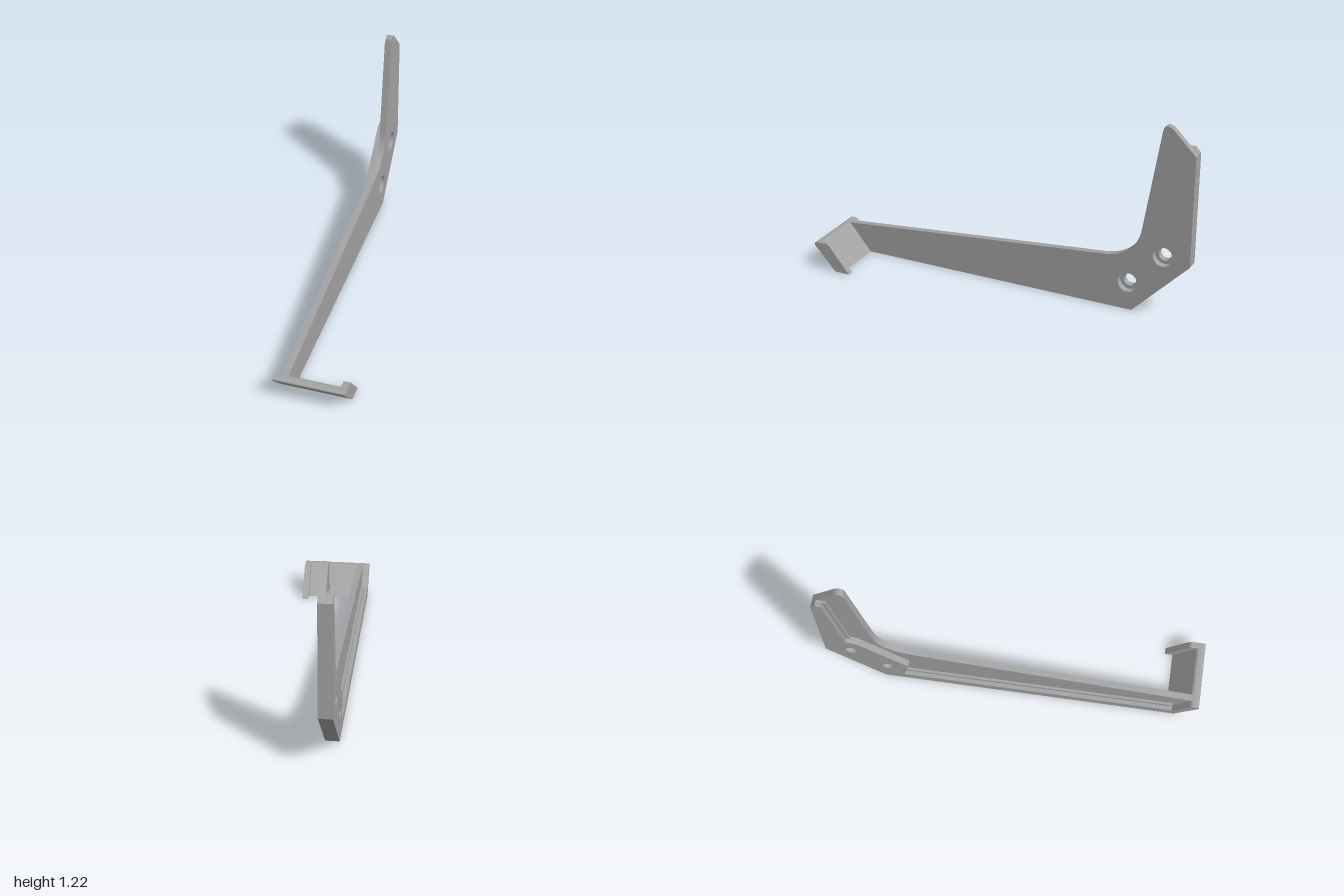
import * as THREE from 'three';

// Angled wall bracket: modelled along local x, then turned 45 degrees about y
const FRONT = -0.05, MID = -0.092, STEP = -0.108, BACK = -0.134;
const holeCentres = [[0.895, 0.18], [1.11, 0.395]];

export function createModel() {
  const grey = new THREE.MeshStandardMaterial({ color: 0xa3a3a3 });
  grey.name = 'satin grey';

  const bracket = new THREE.Group();
  bracket.name = 'bracket';

  const outline = (points) => new THREE.Shape(points.map(([x, y]) => new THREE.Vector2(x, y)));

  // Extrude a side profile between two depths
  function slab(name, shape, z0, z1) {
    const geometry = new THREE.ExtrudeGeometry(shape, {
      depth: z1 - z0, bevelEnabled: false, curveSegments: 16,
    });
    geometry.translate(0, 0, z0);
    const mesh = new THREE.Mesh(geometry, grey);
    mesh.name = name;
    bracket.add(mesh);
  }

  function drill(shape, radius) {
    for (const [x, y] of holeCentres) {
      shape.holes.push(new THREE.Path().absarc(x, y, radius, 0, Math.PI * 2, true));
    }
    return shape;
  }

  // Front web: long tapering arm curving up into the upright
  const web = new THREE.Shape();
  web.moveTo(-0.93, 0);
  web.lineTo(0.927, 0);
  web.lineTo(1.28, 0.36);
  web.lineTo(1.28, 1.06);
  web.lineTo(1.145, 1.195);
  web.quadraticCurveTo(1.125, 1.218, 1.1, 1.218);
  web.quadraticCurveTo(1.078, 1.218, 1.073, 1.18);
  web.lineTo(0.97, 0.53);
  web.bezierCurveTo(0.95, 0.43, 0.87, 0.352, 0.74, 0.338);
  web.lineTo(-1.07, 0.178);
  slab('web', drill(web, 0.063), MID, FRONT);

  // Rear rim and screw boss, with a small step where they meet the web
  function rim(grow) {
    return drill(outline([
      [-0.93, 0], [0.927, 0], [1.28, 0.36], [1.28, 1.06],
      [1.25, 1.095], [1.215 - grow, 1.095], [1.135 - grow, 0.53],
      [1.065, 0.515], [0.765, 0.22], [0.8, 0.06 + grow], [-0.94, 0.06 + grow],
    ]), 0.04);
  }
  slab('rimStep', rim(0.022), STEP, MID);
  slab('rearRim', rim(0), BACK, STEP);

  // Slanted end wall and the retaining lip of the hook
  const hookProfile = (width) => {
    const s = new THREE.Shape();
    s.moveTo(-0.955, 0);
    s.lineTo(-0.955 + width, 0);
    s.lineTo(-1.09 + width, 0.165);
    s.quadraticCurveTo(-1.1 + width, 0.18, -1.115 + width, 0.18);
    s.lineTo(-1.08, 0.18);
    s.quadraticCurveTo(-1.112, 0.178, -1.097, 0.155);
    return s;
  };
  slab('hookWall', hookProfile(0.05), BACK, 0.265);
  slab('hookLip', hookProfile(0.1), 0.265, 0.305);

  bracket.rotation.y = Math.PI / 4;
  const model = new THREE.Group();
  model.name = 'wallBracket';
  model.add(bracket);
  return model;
}
